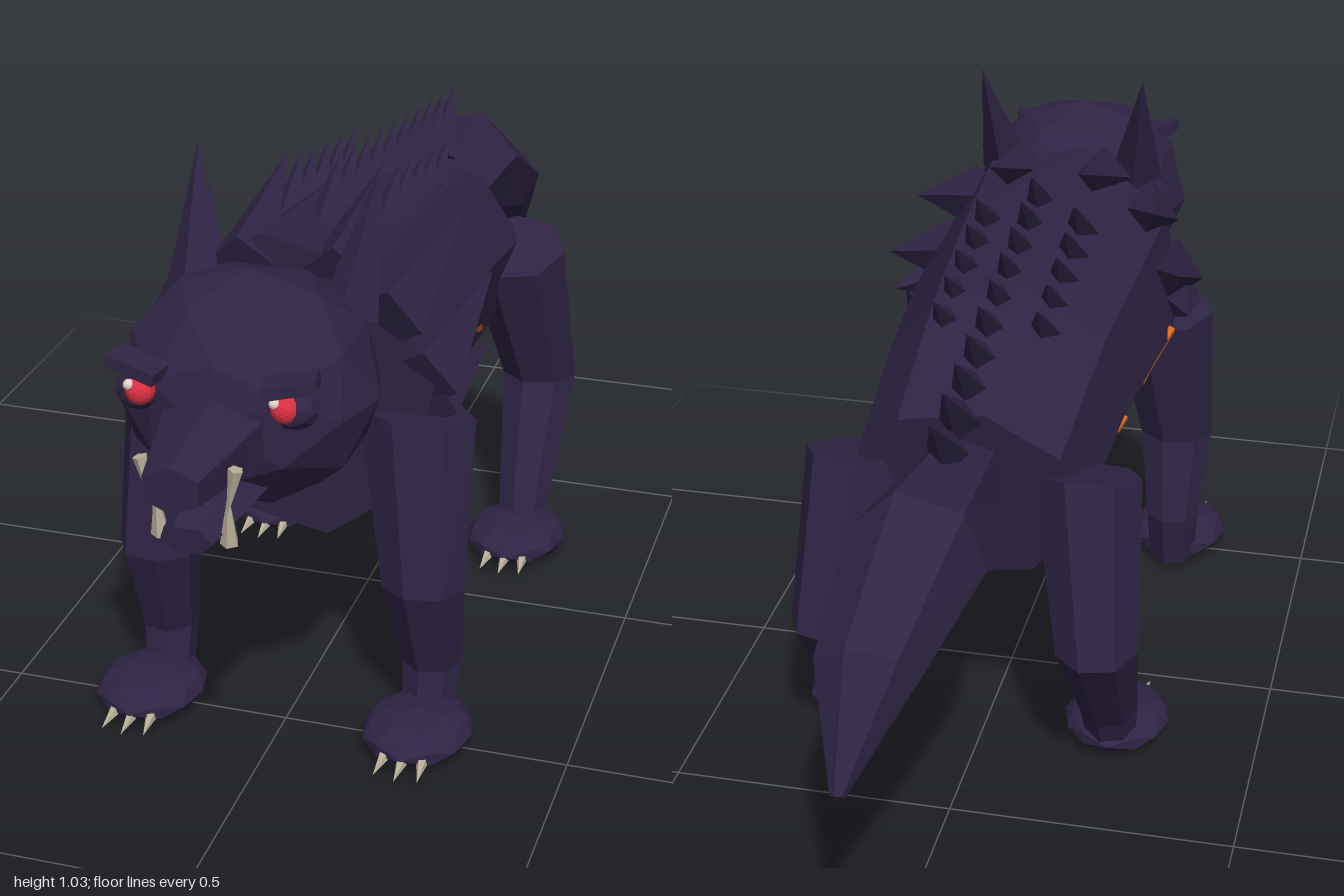
import * as THREE from 'three';

const mat = (name, color) => {
  const m = new THREE.MeshStandardMaterial({ color });
  m.name = name;
  return m;
};
const V = (p) => new THREE.Vector3(...p);

// Split every face so it shades flat
function facet(geo) {
  const g = geo.index ? geo.toNonIndexed() : geo;
  g.computeVertexNormals();
  return g;
}

// Closed skin over rings [x, y, z, halfWidth, halfDepth], each square to the path
function loft(sections, sides, phase = 0) {
  const X = new THREE.Vector3(1, 0, 0);
  const pos = [], idx = [], n = sections.length;
  const centers = sections.map((s) => V(s.slice(0, 3)));
  centers.forEach((c, i) => {
    const t = centers[Math.min(i + 1, n - 1)].clone().sub(centers[Math.max(i - 1, 0)]);
    const U = X.clone().cross(t).normalize();
    for (let j = 0; j < sides; j++) {
      const a = phase + (j / sides) * Math.PI * 2;
      const p = c.clone().addScaledVector(X, Math.cos(a) * sections[i][3])
        .addScaledVector(U, Math.sin(a) * sections[i][4]);
      pos.push(p.x, p.y, p.z);
    }
  });
  const first = n * sides, last = first + 1, end = (n - 1) * sides;
  pos.push(...centers[0].toArray(), ...centers[n - 1].toArray());
  for (let j = 0; j < sides; j++) {
    const k = (j + 1) % sides;
    for (let i = 0; i < n - 1; i++) {
      const a = i * sides + j, b = i * sides + k, c = a + sides, d = b + sides;
      idx.push(a, c, b, b, c, d);
    }
    idx.push(first, j, k, last, end + k, end + j);
  }
  const g = new THREE.BufferGeometry();
  g.setAttribute('position', new THREE.Float32BufferAttribute(pos, 3));
  g.setIndex(idx);
  return facet(g);
}

// Cone running from a base point to a tip
function spikeGeo(base, tip, r, sides = 4) {
  const a = V(base), d = V(tip).sub(a), h = d.length();
  const g = new THREE.ConeGeometry(r, h, sides).translate(0, h / 2, 0);
  g.applyQuaternion(new THREE.Quaternion().setFromUnitVectors(new THREE.Vector3(0, 1, 0), d.normalize()));
  return facet(g.translate(...base));
}

// Faceted ball stretched along each axis
function ball(center, radii, detail = 1) {
  return facet(new THREE.IcosahedronGeometry(1, detail).scale(...radii).translate(...center));
}

export function createModel() {
  const fur = mat('dark fur', 0x2f2445);
  const bone = mat('bone', 0xb8ae98);
  const red = mat('eye red', 0xd82f42);
  const glint = mat('eye glint', 0xf0d8d2);
  const ember = mat('ember orange', 0xd8651a);

  const root = new THREE.Group();
  root.name = 'spikedBeast';
  const add = (name, geo, material) => {
    const m = new THREE.Mesh(geo, material);
    m.name = name;
    root.add(m);
    return m;
  };

  // Trunk and tail
  add('body', loft([
    [0, 0.605, 0.43, 0.25, 0.285],
    [0, 0.62, 0.21, 0.24, 0.24],
    [0, 0.61, -0.05, 0.22, 0.213],
    [0, 0.55, -0.36, 0.2, 0.18],
  ], 8, 0.2), fur);
  add('tail', loft([
    [0, 0.595, -0.4, 0.085, 0.09],
    [0.005, 0.615, -0.66, 0.115, 0.115],
    [0.035, 0.515, -0.86, 0.085, 0.075],
    [0.05, 0.362, -0.99, 0.012, 0.012],
  ], 6, 0.25), fur);

  // Head, snout and jaw
  add('head', ball([0, 0.715, 0.643], [0.212, 0.192, 0.2]), fur);
  add('snout', loft([
    [0, 0.7, 0.78, 0.1, 0.075],
    [0, 0.7, 0.86, 0.08, 0.062],
    [0, 0.7, 1, 0.05, 0.038],
  ], 6, Math.PI / 6), fur);
  add('lowerJaw', loft([
    [0, 0.605, 0.76, 0.075, 0.045],
    [0, 0.587, 0.94, 0.042, 0.024],
  ], 6), fur);

  // Spine spikes: a long centre row and two shorter side rows
  for (let i = 0; i < 10; i++) {
    const z = 0.16 - 0.084 * i, y = 0.93 - 0.014 * i;
    add('spineSpike', spikeGeo([0, y - 0.11, z + 0.12], [0, y, z], 0.036), fur);
  }

  for (const s of [1, -1]) {
    const side = s > 0 ? 'left' : 'right';

    for (let i = 0; i < 5; i++) {
      const z = 0.11 - 0.08 * i, y = 0.9 - 0.016 * i;
      add(side + 'BackSpike', spikeGeo([s * 0.085, y - 0.1, z + 0.11], [s * 0.09, y, z], 0.036), fur);
    }

    // Mane tufts swept back around the neck
    const mane = [
      [[0.08, 0.83, 0.45], [0.085, 0.93, 0.19], 0.055],
      [[0.165, 0.76, 0.45], [0.225, 0.86, 0.2], 0.065],
      [[0.22, 0.65, 0.43], [0.275, 0.75, 0.18], 0.065],
      [[0.235, 0.61, 0.42], [0.285, 0.645, 0.24], 0.05],
    ];
    for (const [b, t, r] of mane)
      add(side + 'ManeTuft', spikeGeo([s * b[0], b[1], b[2]], [s * t[0], t[1], t[2]], r), fur);

    // Ears
    add(side + 'Ear', spikeGeo([s * 0.13, 0.8, 0.545], [s * 0.155, 1.03, 0.435], 0.05), fur);

    // Eyes and brows
    add(side + 'EyeSocket', ball([s * 0.125, 0.757, 0.796], [0.037, 0.034, 0.036]), fur);
    add(side + 'Eye', ball([s * 0.116, 0.763, 0.815], [0.024, 0.024, 0.024], 2), red);
    add(side + 'EyeGlint', ball([s * 0.116 - 0.013, 0.776, 0.829], [0.009, 0.009, 0.009]), glint);
    const brow = add(side + 'Brow', facet(new THREE.BoxGeometry(0.085, 0.02, 0.05)), fur);
    brow.position.set(s * 0.122, 0.8, 0.808);
    brow.rotation.set(0, s * 0.2, s * 0.2);

    // Fangs
    add(side + 'UpperFang', spikeGeo([s * 0.075, 0.71, 0.925], [s * 0.058, 0.625, 0.925], 0.012, 5), bone);
    add(side + 'LowerFang', spikeGeo([s * 0.055, 0.573, 0.905], [s * 0.058, 0.665, 0.915], 0.015, 5), bone);

    // Legs, paws and claws
    const legs = [
      ['FrontLeg', [[0.208, 0.58, 0.41, 0.1, 0.085], [0.236, 0.29, 0.467, 0.072, 0.065],
        [0.24, 0.12, 0.42, 0.052, 0.05], [0.24, 0.02, 0.44, 0.045, 0.045]], 0.515],
      ['HindLeg', [[0.2, 0.59, -0.31, 0.095, 0.1], [0.236, 0.3, -0.395, 0.072, 0.08],
        [0.24, 0.11, -0.28, 0.052, 0.05], [0.24, 0.03, -0.25, 0.045, 0.045]], -0.2],
    ];
    for (const [name, rings, pawZ] of legs) {
      add(side + name, loft(rings.map(([x, ...r]) => [s * x, ...r]), 7, s > 0 ? 0 : Math.PI / 7), fur);
      add(side + name + 'Paw', ball([s * 0.242, 0.037, pawZ], [0.095, 0.037, 0.11]), fur);
      for (const k of [-1, 0, 1]) {
        const x = s * 0.242 + k * 0.032, z = pawZ + 0.09 - Math.abs(k) * 0.008;
        add(side + name + 'Claw', spikeGeo([x, 0.032, z], [x + k * 0.006, 0.024, z + 0.06], 0.012, 5), bone);
      }
    }

    // Glowing cracks on the flanks
    const cracks = s > 0
      ? [[[0.226, 0.58, 0.32], [0.211, 0.52, 0.25], [0.21, 0.537, 0.16]],
        [[0.2, 0.557, -0.02], [0.196, 0.536, -0.042]]]
      : [[[-0.242, 0.58, 0.32], [-0.206, 0.52, 0.25], [-0.209, 0.537, 0.16]],
        [[-0.212, 0.557, -0.02], [-0.199, 0.536, -0.042]]];
    for (const points of cracks)
      for (let i = 0; i < points.length - 1; i++) {
        const line = new THREE.LineCurve3(V(points[i]), V(points[i + 1]));
        add(side + 'FlankCrack', facet(new THREE.TubeGeometry(line, 1, 0.009, 5)), ember);
      }
  }
  return root;
}
